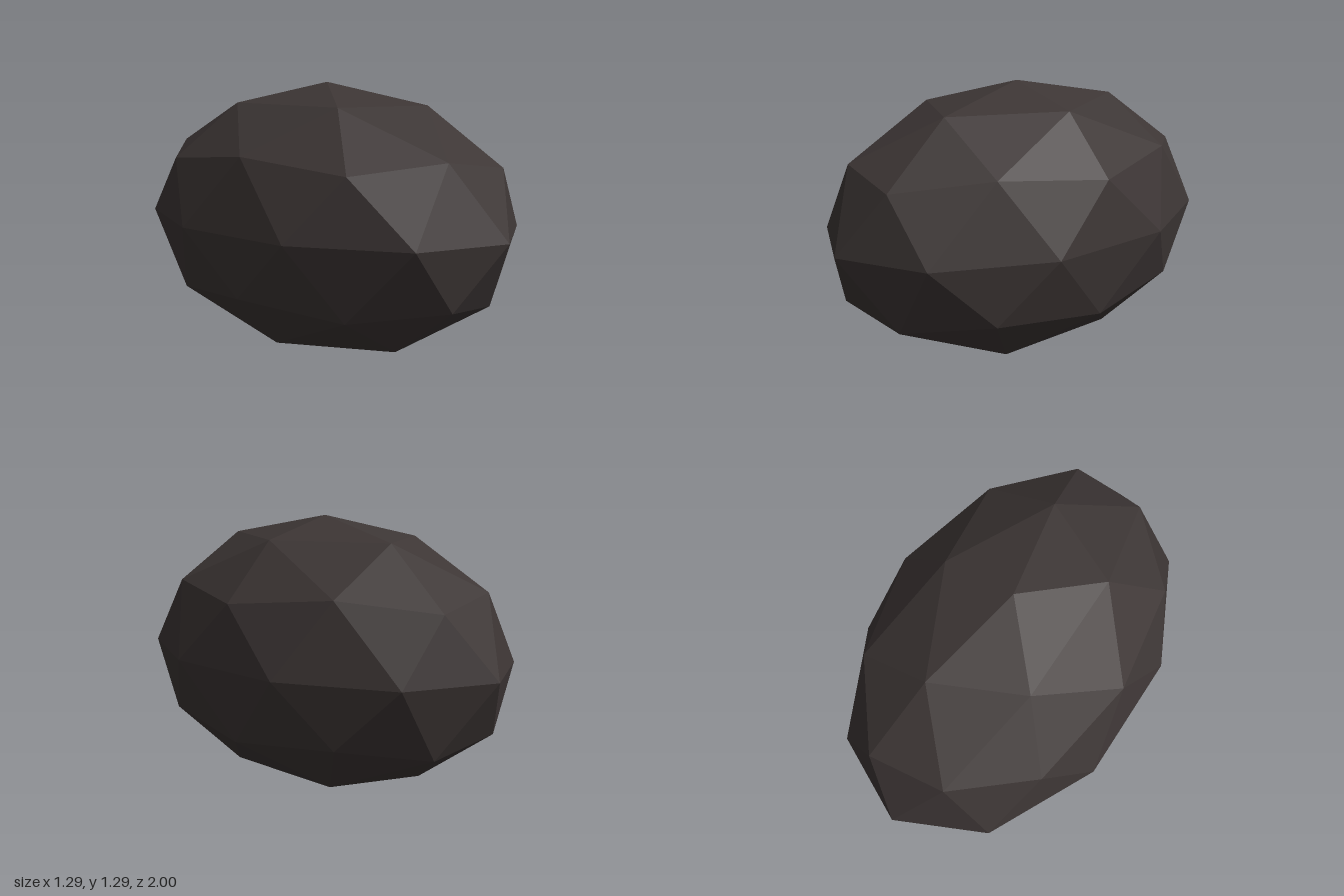
import * as THREE from 'three';

export function createModel() {
  const group = new THREE.Group();
  group.name = 'boulder';

  const darkStone = new THREE.MeshStandardMaterial({ color: 0x3d3635, flatShading: true });
  darkStone.name = 'dark stone';

  // Once-subdivided icosahedron, turned to stand on a five-sided pole
  const golden = (1 + Math.sqrt(5)) / 2;
  const geometry = new THREE.IcosahedronGeometry(1, 1);
  geometry.rotateZ(-Math.atan(1 / golden));

  // Stretched front to back and lifted onto the ground
  const halfHeight = 0.645;
  geometry.scale(0.678, halfHeight, 1);
  geometry.translate(0, halfHeight, 0);
  geometry.computeVertexNormals();

  const stone = new THREE.Mesh(geometry, darkStone);
  stone.name = 'stone';
  group.add(stone);
  return group;
}
